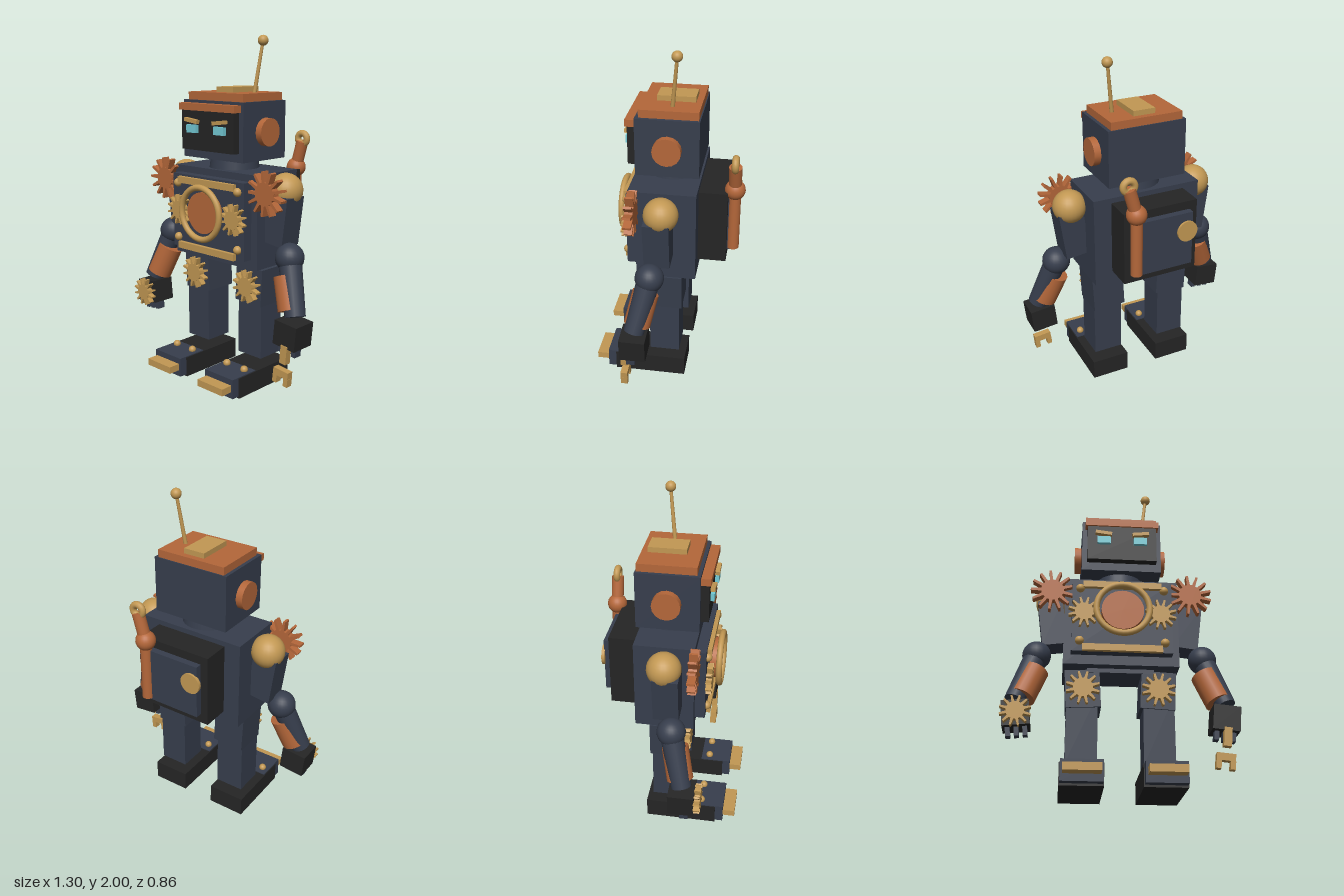
import * as THREE from 'three';

const mat = (name, color) => Object.assign(new THREE.MeshStandardMaterial({ color }), { name });

export function createModel() {
  const root = new THREE.Group();
  root.name = 'robot';
  const navy = mat('navy steel', 0x373e4d);
  const black = mat('black iron', 0x252525);
  const copper = mat('copper', 0xb4673a);
  const brass = mat('brass', 0xc29853);
  const cyan = mat('eye glow', 0x74cbd6);

  const add = (name, geo, material, pos = [0, 0, 0], parent = root) => {
    const m = new THREE.Mesh(geo, material);
    m.name = name;
    m.position.set(...pos);
    parent.add(m);
    return m;
  };
  // box given by its min and max corners
  const span = (name, material, x0, x1, y0, y1, z0, z1, parent) =>
    add(name, new THREE.BoxGeometry(x1 - x0, y1 - y0, z1 - z0), material,
      [(x0 + x1) / 2, (y0 + y1) / 2, (z0 + z1) / 2], parent);
  const ball = (name, material, r, pos, parent) =>
    add(name, new THREE.SphereGeometry(r, 24, 16), material, pos, parent);
  // cylinder between two points
  const rod = (name, material, a, b, r0, r1 = r0, sides = 20) => {
    const A = new THREE.Vector3(...a), B = new THREE.Vector3(...b);
    const d = B.clone().sub(A);
    const m = add(name, new THREE.CylinderGeometry(r1, r0, d.length(), sides), material);
    m.position.copy(A).add(B).multiplyScalar(0.5);
    m.quaternion.setFromUnitVectors(new THREE.Vector3(0, 1, 0), d.normalize());
    return m;
  };
  // spiky cog facing +z, with its back at pos.z
  const cog = (name, material, r, depth, pos, teeth = 12, hub = 0.58) => {
    const pts = [];
    for (let i = 0; i < teeth; i++) {
      const a = (i + 0.5) / teeth * Math.PI * 2, step = Math.PI / teeth;
      for (const [k, rr] of [[-0.6, hub], [-0.22, 1], [0.22, 1], [0.6, hub]]) {
        const t = a + k * step;
        pts.push(new THREE.Vector2(Math.cos(t) * r * rr, Math.sin(t) * r * rr));
      }
    }
    return add(name, new THREE.ExtrudeGeometry(new THREE.Shape(pts), { depth, bevelEnabled: false }), material, pos);
  };

  // head
  span('head', navy, -0.235, 0.235, 1.31, 1.64, -0.175, 0.18);
  span('headCap', copper, -0.215, 0.215, 1.64, 1.685, -0.168, 0.16);
  span('headHatch', brass, -0.065, 0.065, 1.685, 1.715, -0.132, 0.083);
  span('facePlate', black, -0.205, 0.205, 1.36, 1.59, 0.18, 0.225);
  span('visorBrow', copper, -0.218, 0.218, 1.585, 1.625, 0.18, 0.235);
  rod('neck', navy, [0, 1.24, 0], [0, 1.32, 0], 0.148, 0.138, 24);
  rod('antennaRod', brass, [0.14, 1.68, -0.015], [0.175, 1.97, -0.045], 0.012, 0.009, 12);
  ball('antennaTip', brass, 0.03, [0.176, 1.972, -0.045]);

  // torso and chest plate
  span('torso', navy, -0.328, 0.328, 0.715, 1.25, -0.173, 0.167);
  span('chestPlate', navy, -0.285, 0.285, 0.77, 1.21, 0.167, 0.226);
  span('chestBarTop', brass, -0.225, 0.225, 1.16, 1.198, 0.226, 0.25);
  span('chestBarBottom', brass, -0.225, 0.225, 0.767, 0.806, 0.226, 0.25);
  rod('chestDisc', copper, [0, 1.01, 0.22], [0, 1.01, 0.27], 0.12, 0.12, 32);
  add('chestRing', new THREE.TorusGeometry(0.15, 0.018, 12, 40), brass, [0, 1.01, 0.285]);
  span('pelvis', navy, -0.19, 0.19, 0.69, 0.72, -0.1, 0.11);

  for (const s of [-1, 1]) {
    // face details
    rod('ear', copper, [s * 0.23, 1.47, 0], [s * 0.275, 1.47, 0], 0.08, 0.08, 16);
    add('eye', new THREE.BoxGeometry(0.078, 0.045, 0.025), cyan, [s * 0.108, 1.482, 0.234]);
    const brow = add('eyebrow', new THREE.BoxGeometry(0.098, 0.021, 0.03), brass, [s * 0.11, 1.528, 0.236]);
    brow.rotation.z = s * 0.12;

    // chest details
    cog('chestCog', brass, 0.09, 0.032, [s * 0.217, 1.0, 0.226]);
    for (const y of [0.83, 1.157]) ball('chestRivet', brass, 0.025, [s * 0.24, y, 0.23]);

    // arm
    ball('shoulder', brass, 0.097, [s * 0.4, 1.16, 0.01]);
    cog('shoulderCog', copper, 0.125, 0.046, [s * 0.4, 1.16, 0.15], 13, 0.52);
    const upper = add('upperArm', new THREE.BoxGeometry(0.145, 0.28, 0.145), navy, [s * 0.394, 1.0, 0.027]);
    upper.rotation.z = -s * 0.13;
    ball('elbow', navy, 0.082, [s * 0.477, 0.8, 0.063]);
    rod('forearm', navy, [s * 0.477, 0.8, 0.063], [s * 0.582, 0.5, 0.137], 0.066, 0.058);
    rod('forearmSleeve', copper, [s * 0.478, 0.7, 0.085], [s * 0.546, 0.525, 0.125], 0.076);

    // hand with three fingers
    const hand = new THREE.Group();
    hand.name = 'hand';
    hand.position.set(s * 0.57, 0.41, 0.14);
    hand.rotation.z = -s * 0.1;
    root.add(hand);
    add('palm', new THREE.BoxGeometry(0.15, 0.14, 0.148), black, [0, 0, 0], hand);
    for (const i of [-1, 0, 1])
      add('finger', new THREE.BoxGeometry(0.026, 0.06, 0.05), navy, [i * 0.046, -0.09, 0.015], hand);

    // leg
    const thigh = add('thigh', new THREE.BoxGeometry(0.196, 0.22, 0.2), navy, [s * 0.212, 0.594, 0.007]);
    thigh.rotation.z = -s * 0.05;
    cog('kneeCog', brass, 0.095, 0.035, [s * 0.212, 0.59, 0.107]);
    add('shin', new THREE.BoxGeometry(0.175, 0.4, 0.176), navy, [s * 0.214, 0.33 + 0.035, 0.01]);

    // foot
    const x = s * 0.215;
    span('foot', black, x - 0.115, x + 0.115, 0, 0.12, -0.115, 0.31);
    span('toeCap', navy, x - 0.11, x + 0.11, 0.012, 0.125, 0.17, 0.358);
    span('toeBar', brass, x - 0.098, x + 0.098, 0.05, 0.09, 0.355, 0.43);
    for (const dx of [-0.068, 0.068]) ball('footRivet', brass, 0.022, [x + dx, 0.133, 0.22]);
  }

  // cog on the right hand, wrench in the left
  cog('handCog', brass, 0.085, 0.035, [-0.57, 0.41, 0.213]);
  const wrench = new THREE.Group();
  wrench.name = 'wrench';
  wrench.position.set(0.558, 0.27, 0.2);
  wrench.rotation.z = -0.1;
  root.add(wrench);
  span('wrenchHandle', brass, -0.015, 0.028, -0.02, 0.085, -0.02, 0.02, wrench);
  span('wrenchBridge', brass, -0.05, 0.052, -0.1, -0.06, -0.02, 0.02, wrench);
  for (const px of [-0.037, 0.039])
    span('wrenchProng', brass, px - 0.014, px + 0.014, -0.145, -0.1, -0.02, 0.02, wrench);

  // backpack with dial and exhaust pipe
  span('backpack', black, -0.228, 0.223, 0.787, 1.22, -0.335, -0.17);
  span('backpackPanel', navy, -0.182, 0.182, 0.845, 1.17, -0.375, -0.33);
  rod('backpackDial', brass, [-0.145, 1.06, -0.37], [-0.145, 1.06, -0.388], 0.062, 0.062, 20);
  rod('exhaustPipe', copper, [0.165, 0.855, -0.37], [0.165, 1.22, -0.37], 0.034);
  ball('exhaustJoint', copper, 0.058, [0.165, 1.225, -0.37]);
  rod('exhaustStack', copper, [0.165, 1.225, -0.37], [0.21, 1.385, -0.37], 0.036, 0.036);
  add('exhaustRing', new THREE.TorusGeometry(0.033, 0.02, 12, 24), brass, [0.21, 1.4, -0.37]);

  return root;
}
